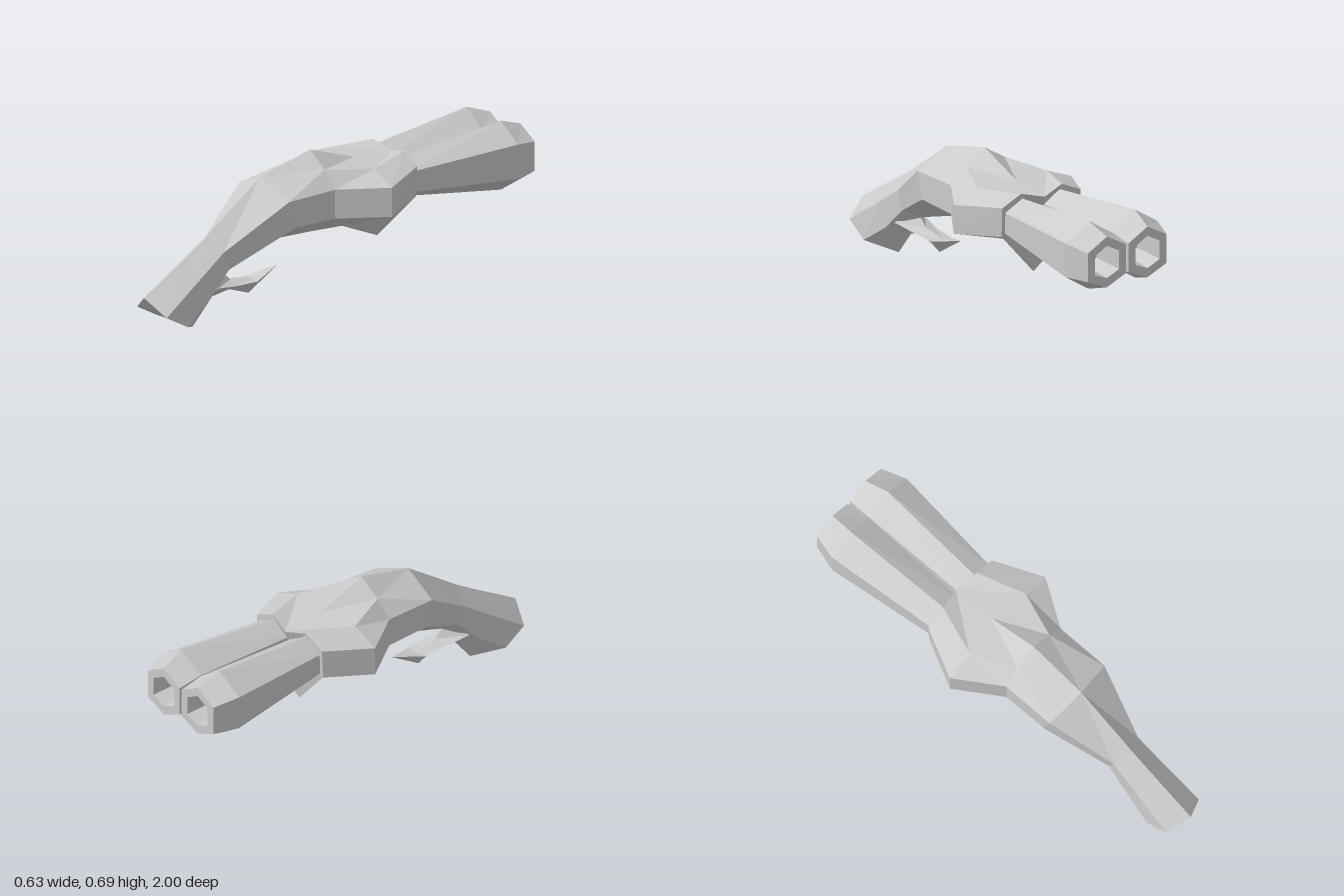
import * as THREE from 'three';

const material = new THREE.MeshStandardMaterial({ color: 0xcccccc, flatShading: true, side: THREE.DoubleSide });

// Joins rings of points into a faceted skin; rings run from +z to -z, clockwise seen from +z.
function loft(name, rings, capStart = true, capEnd = true) {
  const pos = [];
  const same = (a, b) => a.every((v, k) => Math.abs(v - b[k]) < 1e-6);
  const tri = (a, b, c) => {
    if (!same(a, b) && !same(b, c) && !same(a, c)) pos.push(...a, ...b, ...c);
  };
  const n = rings[0].length;
  for (let i = 0; i < rings.length - 1; i++) {
    for (let j = 0; j < n; j++) {
      const k = (j + 1) % n;
      const a = rings[i][j], b = rings[i][k], c = rings[i + 1][j], d = rings[i + 1][k];
      // mirrored diagonals keep both halves symmetric
      if (j < n / 2) { tri(a, b, c); tri(b, d, c); }
      else { tri(a, b, d); tri(a, d, c); }
    }
  }
  const cap = (ring, flip) => {
    const mid = [0, 1, 2].map(k => ring.reduce((s, p) => s + p[k], 0) / n);
    ring.forEach((p, j) => {
      const q = ring[(j + 1) % n];
      if (flip) tri(mid, q, p); else tri(mid, p, q);
    });
  };
  if (capStart) cap(rings[0], true);
  if (capEnd) cap(rings[rings.length - 1], false);
  const geo = new THREE.BufferGeometry();
  geo.setAttribute('position', new THREE.Float32BufferAttribute(pos, 3));
  geo.computeVertexNormals();
  const mesh = new THREE.Mesh(geo, material);
  mesh.name = name;
  return mesh;
}

// Completes a half section (top centre to bottom centre) with its mirror image.
const mirror = half => [...half, ...half.slice(1, -1).reverse().map(([x, y, z]) => [-x, y, z])];

// Section with top, shoulder, upper side, lower side and bottom points
const bodySections = [
  [[0, 0.185, 1], [0, 0.185, 1], [0.105, 0.11, 0.955], [0.11, 0.047, 0.84], [0, 0, 0.73]],
  [[0, 0.33, 0.765], [0, 0.33, 0.765], [0.09, 0.25, 0.75], [0.09, 0.145, 0.7], [0, 0.11, 0.64]],
  [[0, 0.4, 0.655], [0, 0.4, 0.655], [0.082, 0.34, 0.62], [0.08, 0.255, 0.59], [0, 0.215, 0.56]],
  [[0, 0.612, 0.36], [0, 0.612, 0.36], [0.18, 0.54, 0.335], [0.18, 0.415, 0.3], [0, 0.315, 0.26]],
  [[0, 0.688, 0.08], [0.105, 0.622, 0.08], [0.18, 0.548, 0.08], [0.18, 0.415, 0.08], [0, 0.31, 0.08]],
  [[0, 0.605, -0.165], [0.185, 0.603, -0.13], [0.315, 0.55, -0.13], [0.315, 0.416, -0.13], [0, 0.308, -0.08]],
  [[0, 0.595, -0.375], [0.11, 0.624, -0.35], [0.21, 0.578, -0.35], [0.21, 0.442, -0.345], [0, 0.22, -0.29]],
];

// Trigger spur: top, side and bottom points
const spurSections = [
  [[0, 0.25, 0.61], [0.08, 0.18, 0.65], [0, 0.115, 0.64]],
  [[0, 0.178, 0.52], [0.06, 0.163, 0.54], [0, 0.14, 0.55]],
  [[0, 0.162, 0.4], [0.05, 0.157, 0.41], [0, 0.095, 0.42]],
  [[0, 0.195, 0.26], [0, 0.195, 0.26], [0, 0.195, 0.26]],
];

// Upright hexagon: centre x, half width, top, bottom, upper and lower side heights
function hexRing(cx, w, top, bottom, up, low, z, scale = 1) {
  const cy = (top + bottom) / 2;
  return [[0, top], [w, up], [w, low], [0, bottom], [-w, low], [-w, up]]
    .map(([x, y]) => [cx + x * scale, cy + (y - cy) * scale, z]);
}

function barrel(side) {
  const muzzle = [side * 0.109, 0.102, 0.622, 0.385, 0.565, 0.43];
  return loft(side > 0 ? 'leftBarrel' : 'rightBarrel', [
    hexRing(side * 0.1, 0.09, 0.597, 0.417, 0.55, 0.457, -0.32),
    hexRing(side * 0.124, 0.122, 0.663, 0.345, 0.583, 0.425, -0.88),
    hexRing(...muzzle, -1),
    // rim and hollow bore
    hexRing(...muzzle, -1, 0.64),
    hexRing(...muzzle, -0.84, 0.55),
  ]);
}

export function createModel() {
  const model = new THREE.Group();
  model.name = 'doubleBarrelPistol';
  model.add(loft('gripAndReceiver', bodySections.map(mirror)));
  model.add(loft('triggerSpur', spurSections.map(mirror), true, false));
  for (const side of [1, -1]) model.add(barrel(side));
  return model;
}
